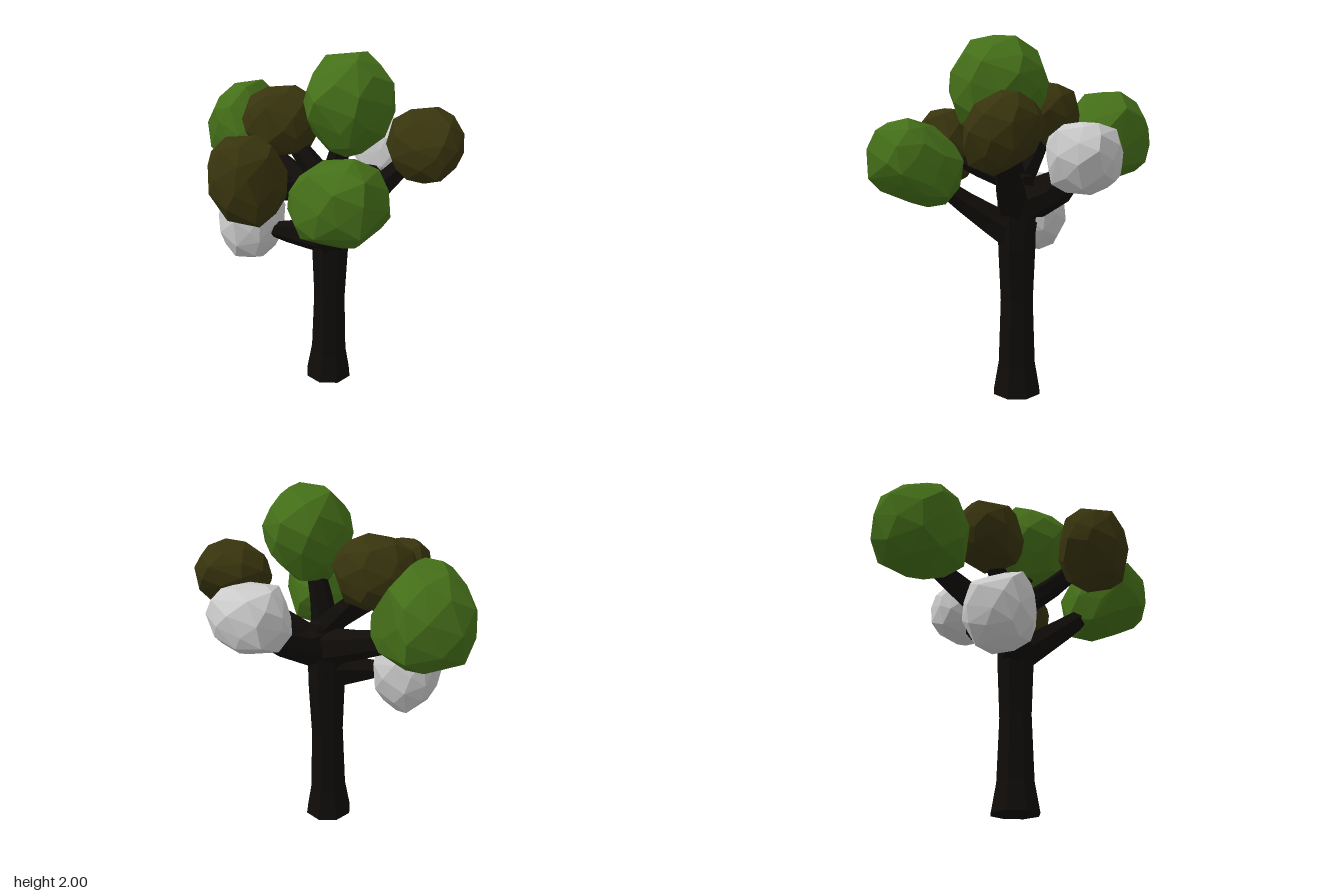
import * as THREE from 'three';
import { ConvexGeometry } from 'three/addons/geometries/ConvexGeometry.js';

const V = (p) => new THREE.Vector3(...p);
const mat = (color) => new THREE.MeshStandardMaterial({ color, flatShading: true });

function seeded(seed) {
  let s = seed;
  return () => ((s = (s * 16807) % 2147483647) / 2147483647);
}

// Faceted clump filling the box min..max. lean [xy, yz, xz] skews it, taper narrows its top,
// full makes it boxier, and each cut [nx, ny, nz, d] flattens one side of the unit shape.
function clump(min, max, { lean = [0, 0, 0], taper = 0, full = 2.4, cuts = [], seed }) {
  const rnd = seeded(seed * 7919 + 13), pts = [], n = 46, [xy, yz, xz] = lean;
  for (let i = 0; i < n; i++) {
    const y = 1 - (2 * (i + 0.5)) / n, a = i * 2.39996 + rnd() * 0.4;
    const r = Math.sqrt(1 - y * y), d = V([Math.cos(a) * r, y, Math.sin(a) * r]);
    const norm = d.toArray().reduce((sum, c) => sum + Math.abs(c) ** full, 0) ** (1 / full);
    d.multiplyScalar((0.94 + 0.1 * rnd()) / norm);
    const w = 1 - taper * d.y;
    const p = V([d.x * w + xy * d.y + xz * d.z, d.y + xy * d.x + yz * d.z, d.z * w + yz * d.y + xz * d.x]);
    for (const [nx, ny, nz, dist] of cuts) {
      const normal = V([nx, ny, nz]).normalize();
      p.addScaledVector(normal, -0.9 * Math.max(0, p.dot(normal) - dist));
    }
    pts.push(p);
  }
  const box = new THREE.Box3().setFromPoints(pts), size = box.getSize(new THREE.Vector3());
  const lo = V(min), span = V(max).sub(lo);
  pts.forEach((p) => p.sub(box.min).divide(size).multiply(span).add(lo));
  return new ConvexGeometry(pts);
}

// Six-sided limb through points, thinning from r0 to r1
function limb(points, r0, r1) {
  const curve = new THREE.CatmullRomCurve3(points.map(V));
  const geo = new THREE.CylinderGeometry(1, 1, 1, 6, 3);
  const pos = geo.attributes.position, up = new THREE.Vector3(0, 1, 0), v = new THREE.Vector3();
  for (let i = 0; i < pos.count; i++) {
    v.fromBufferAttribute(pos, i);
    const t = v.y + 0.5, r = r0 + (r1 - r0) * t;
    const q = new THREE.Quaternion().setFromUnitVectors(up, curve.getTangent(t));
    v.set(v.x * r, 0, v.z * r).applyQuaternion(q).add(curve.getPoint(t));
    pos.setXYZ(i, v.x, v.y, v.z);
  }
  geo.computeVertexNormals();
  return geo;
}

export function createModel() {
  const model = new THREE.Group();
  const bark = mat(0x0f0c09), green = mat(0x457019), olive = mat(0x38340e), grey = mat(0xcccccc);
  const add = (name, geo, material) => {
    const mesh = new THREE.Mesh(geo, material);
    mesh.name = name;
    model.add(mesh);
    return mesh;
  };

  // Trunk with flared foot
  const profile = [[0, 0], [0.143, 0], [0.112, 0.17], [0.098, 0.55], [0.112, 0.85], [0.115, 1.1], [0.095, 1.25], [0, 1.3]];
  const trunk = add('trunk', new THREE.LatheGeometry(profile.map((p) => new THREE.Vector2(...p)), 8), bark);
  trunk.position.set(0.115, 0, -0.06);

  // Branches
  const branches = [
    ['topBranch', [[0.115, 1.1, -0.06], [0.14, 1.3, -0.04], [0.2, 1.55, -0.02]], 0.09, 0.05],
    ['rightLowBranch', [[0.12, 0.94, -0.06], [-0.05, 0.95, 0.01], [-0.24, 0.97, 0.06]], 0.125, 0.035],
    ['rightBackBranch', [[0.12, 1.1, -0.06], [-0.08, 1.17, -0.18], [-0.42, 1.31, -0.36]], 0.12, 0.055],
    ['rightUpperBranch', [[0.12, 1.2, -0.06], [0.02, 1.3, -0.09], [-0.16, 1.48, -0.12]], 0.09, 0.05],
    ['frontUpperBranch', [[0.11, 1.24, -0.06], [0.05, 1.265, 0.12], [-0.1, 1.33, 0.4]], 0.08, 0.05],
    ['frontLowBranch', [[0.12, 0.92, -0.06], [0.17, 1.04, 0.14], [0.28, 1.22, 0.36]], 0.11, 0.05],
    ['leftBranch', [[0.13, 1.09, -0.06], [0.3, 1.17, -0.1], [0.54, 1.42, -0.17]], 0.11, 0.055],
    ['backBranch', [[0.12, 1.11, -0.06], [0.21, 1.14, -0.28], [0.32, 1.32, -0.47]], 0.11, 0.06],
  ];
  for (const [name, points, r0, r1] of branches) add(name, limb(points, r0, r1), bark);

  // Leaf clumps
  const clumps = [
    ['topLeaves', green, [0, 1.45, -0.27], [0.48, 2, 0.25],
      { taper: -0.05, full: 2.1, cuts: [[-0.5, 0.7, 0.5, 0.88], [0.5, -0.7, -0.5, 0.88]], seed: 1 }],
    ['rightBackLeaves', green, [-0.82, 1.21, -0.66], [-0.29, 1.73, -0.11],
      { taper: 0.12, cuts: [[0.75, 0.66, 0, 0.74], [-0.74, 0.67, 0, 0.88], [-0.57, 0, 0.82, 0.86], [0.7, 0, -0.7, 0.76], [0.5, 0.5, 0.7, 0.84]], seed: 2 }],
    ['rightUpperLeaves', olive, [-0.43, 1.38, -0.31], [0.02, 1.78, 0.08], { full: 2.2, seed: 3 }],
    ['frontUpperLeaves', olive, [-0.32, 1.17, 0.3], [0.07, 1.63, 0.69],
      { lean: [-0.05, 0, 0], cuts: [[-0.65, -0.75, 0, 0.74]], seed: 4 }],
    ['frontLowLeaves', green, [0.14, 1.09, 0.17], [0.61, 1.57, 0.7],
      { lean: [0, 0.03, -0.08], full: 2.7, cuts: [[0, 0.66, -0.75, 0.77], [0, -0.85, 0.5, 0.77], [0.65, -0.76, 0, 0.8], [0.7, 0, -0.7, 0.8]], seed: 5 }],
    ['leftLeaves', olive, [0.4, 1.29, -0.39], [0.82, 1.7, -0.02],
      { lean: [0, -0.06, 0], cuts: [[0, 0.6, 0.8, 0.76], [0, -0.7, -0.7, 0.7], [-0.7, -0.7, 0, 0.82]], seed: 6 }],
    ['backLeaves', grey, [0.1, 1.19, -0.7], [0.54, 1.55, -0.33],
      { full: 2.6, cuts: [[-0.5, 0, 0.85, 0.8], [0.7, 0, 0.7, 0.95]], seed: 7 }],
    ['rightLowLeaves', grey, [-0.53, 0.76, -0.18], [-0.17, 1.25, 0.22],
      { cuts: [[-0.5, 0.87, 0, 0.7], [-0.45, -0.89, 0, 0.85]], seed: 8 }],
  ];
  for (const [name, material, min, max, shape] of clumps) add(name, clump(min, max, shape), material);

  return model;
}
